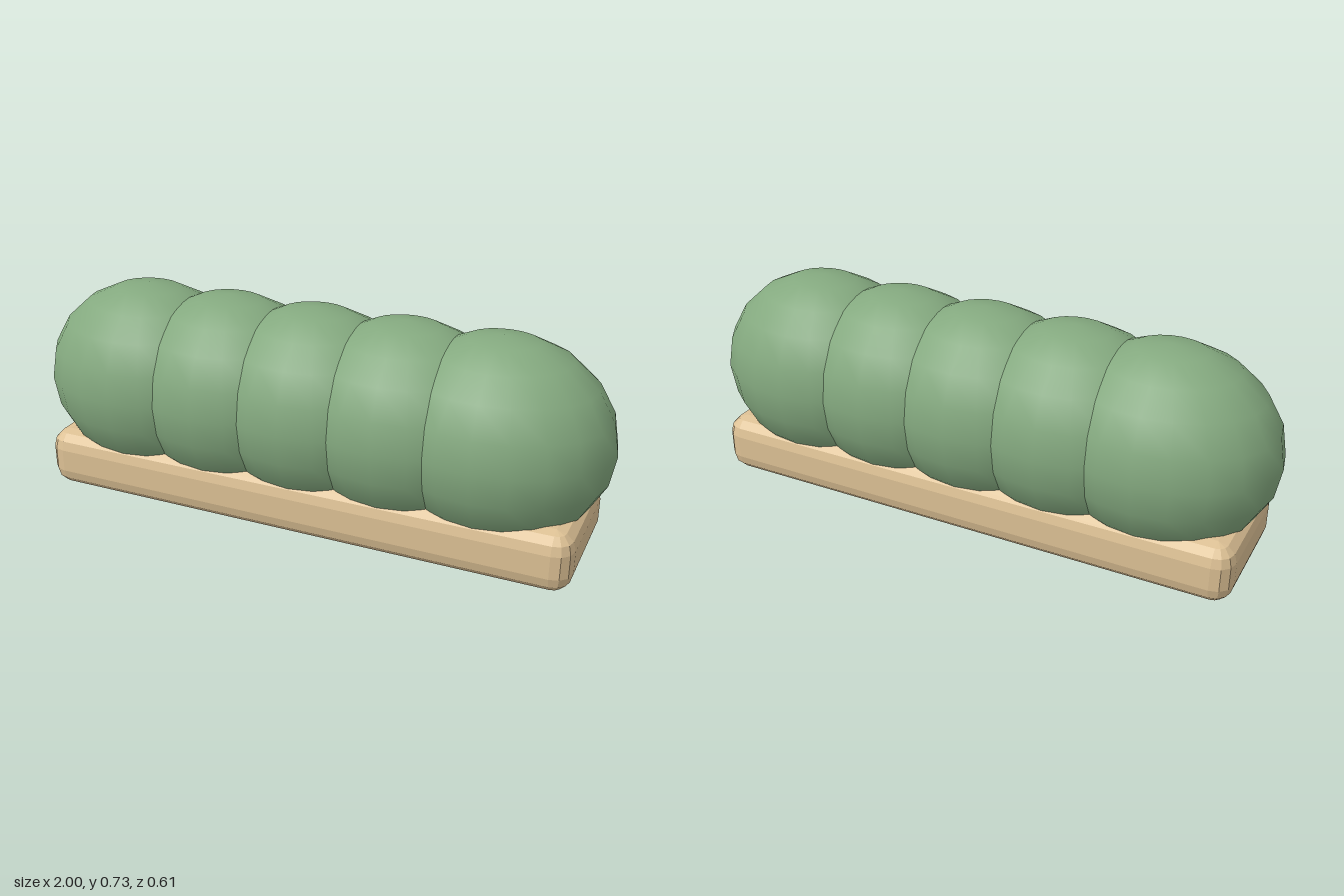
import * as THREE from 'three';
import { ConvexGeometry } from 'three/addons/geometries/ConvexGeometry.js';

// Flat-faceted box with rounded edges: the hull of a small ball at each corner
function roundedBlock(w, h, d, r) {
  const ball = new THREE.SphereGeometry(r, 12, 6).attributes.position;
  const points = [];
  for (const sx of [-1, 1]) for (const sy of [-1, 1]) for (const sz of [-1, 1]) {
    const corner = new THREE.Vector3(sx * (w / 2 - r), sy * (h / 2 - r), sz * (d / 2 - r));
    for (let i = 0; i < ball.count; i++) {
      const p = new THREE.Vector3().fromBufferAttribute(ball, i);
      // keep only the outward octant of each ball
      if (p.x * sx > -1e-6 && p.y * sy > -1e-6 && p.z * sz > -1e-6) points.push(p.add(corner));
    }
  }
  return new ConvexGeometry(points);
}

export function createModel() {
  const model = new THREE.Group();
  model.name = 'hedgePlanter';

  const wood = new THREE.MeshStandardMaterial({ color: 0xdcc094, flatShading: true });
  const leaf = new THREE.MeshStandardMaterial({ color: 0x84a97f });

  // Planter base
  const base = new THREE.Mesh(roundedBlock(1.87, 0.204, 0.484, 0.0625), wood);
  base.name = 'planterBase';
  base.position.y = 0.102;
  model.add(base);

  // Row of five overlapping bushes
  const bush = new THREE.SphereGeometry(1, 20, 10);
  for (let i = -2; i <= 2; i++) {
    const mesh = new THREE.Mesh(bush, leaf);
    mesh.name = `bush${i + 3}`;
    mesh.scale.set(0.375, 0.337, 0.304);
    mesh.position.set(i * 0.3125, 0.39, 0);
    model.add(mesh);
  }
  return model;
}
